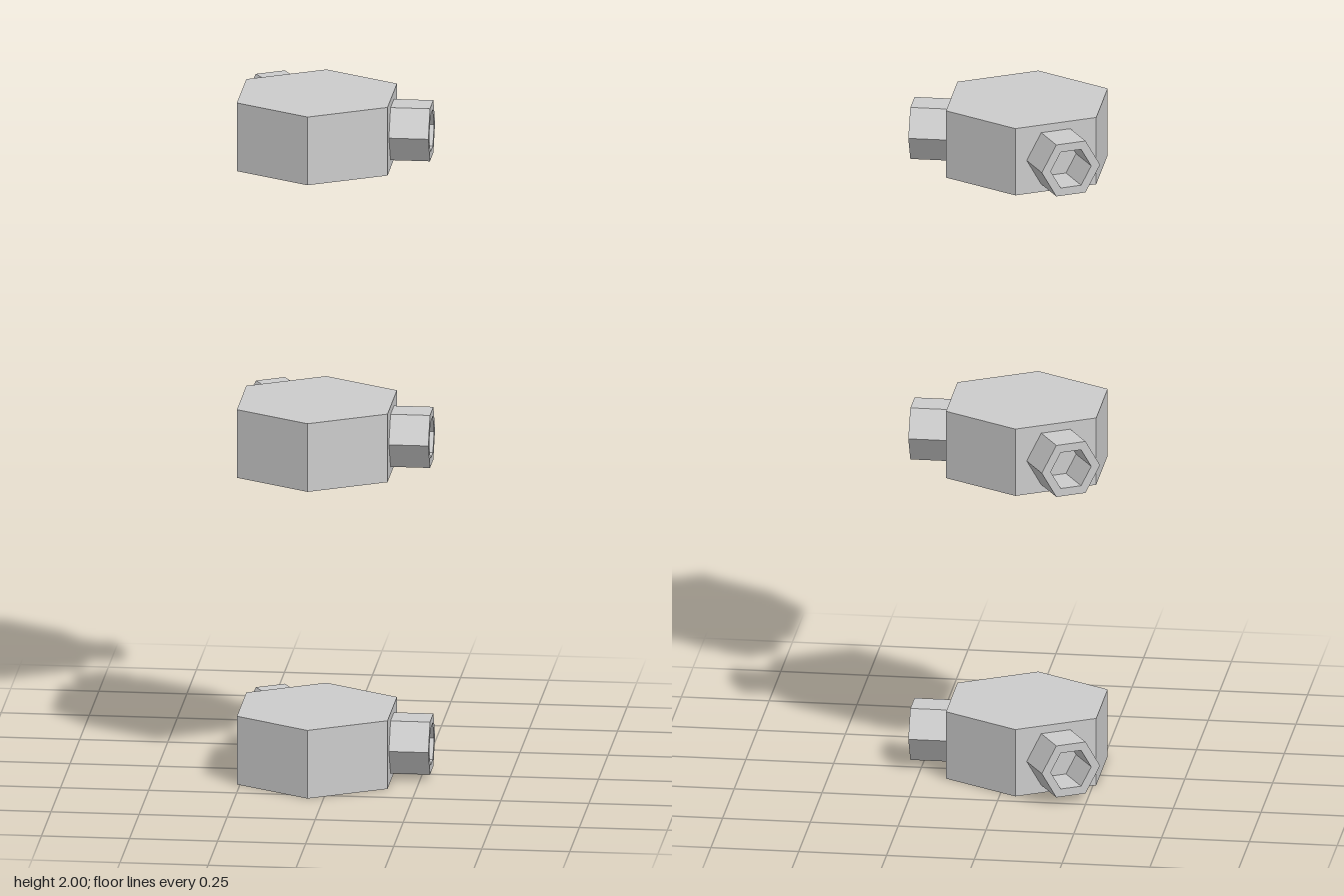
import * as THREE from 'three';

const BODY_RADIUS = 0.247;
const BODY_HEIGHT = 0.2;
const APOTHEM = BODY_RADIUS * Math.cos(Math.PI / 6);
const SOCKET_RADIUS = 0.089;
const HOLE_RADIUS = 0.062;
const SOCKET_LENGTH = 0.112;

const material = new THREE.MeshStandardMaterial({ color: 0xcccccc, flatShading: true });

function hexPoints(radius) {
  return Array.from({ length: 6 }, (_, i) => {
    const a = (i * Math.PI) / 3;
    return new THREE.Vector2(radius * Math.cos(a), radius * Math.sin(a));
  });
}

// Hollow hexagonal sleeve, starting on a flat side of the body and pointing along +z
function socketGeometry() {
  const shape = new THREE.Shape(hexPoints(SOCKET_RADIUS));
  shape.holes.push(new THREE.Path(hexPoints(HOLE_RADIUS).reverse()));
  const geometry = new THREE.ExtrudeGeometry(shape, { depth: SOCKET_LENGTH, bevelEnabled: false });
  return geometry.translate(0, 0, APOTHEM);
}

export function createModel() {
  const model = new THREE.Group();
  model.name = 'stackedHexConnectors';

  const bodyGeometry = new THREE.CylinderGeometry(BODY_RADIUS, BODY_RADIUS, BODY_HEIGHT, 6);
  const sleeve = socketGeometry();

  // Three identical connectors, one above the other
  ['lower', 'middle', 'upper'].forEach((level, i) => {
    const connector = new THREE.Group();
    connector.name = `${level}Connector`;
    connector.position.set(-0.045, 0.1 + i * 0.9, 0.039);

    const body = new THREE.Mesh(bodyGeometry, material);
    body.name = 'hexBody';
    connector.add(body);

    // Two sockets, 120 degrees apart
    [['leftSocket', Math.PI / 2], ['backSocket', (7 * Math.PI) / 6]].forEach(([name, angle]) => {
      const socket = new THREE.Mesh(sleeve, material);
      socket.name = name;
      socket.rotation.y = angle;
      connector.add(socket);
    });
    model.add(connector);
  });

  return model;
}
